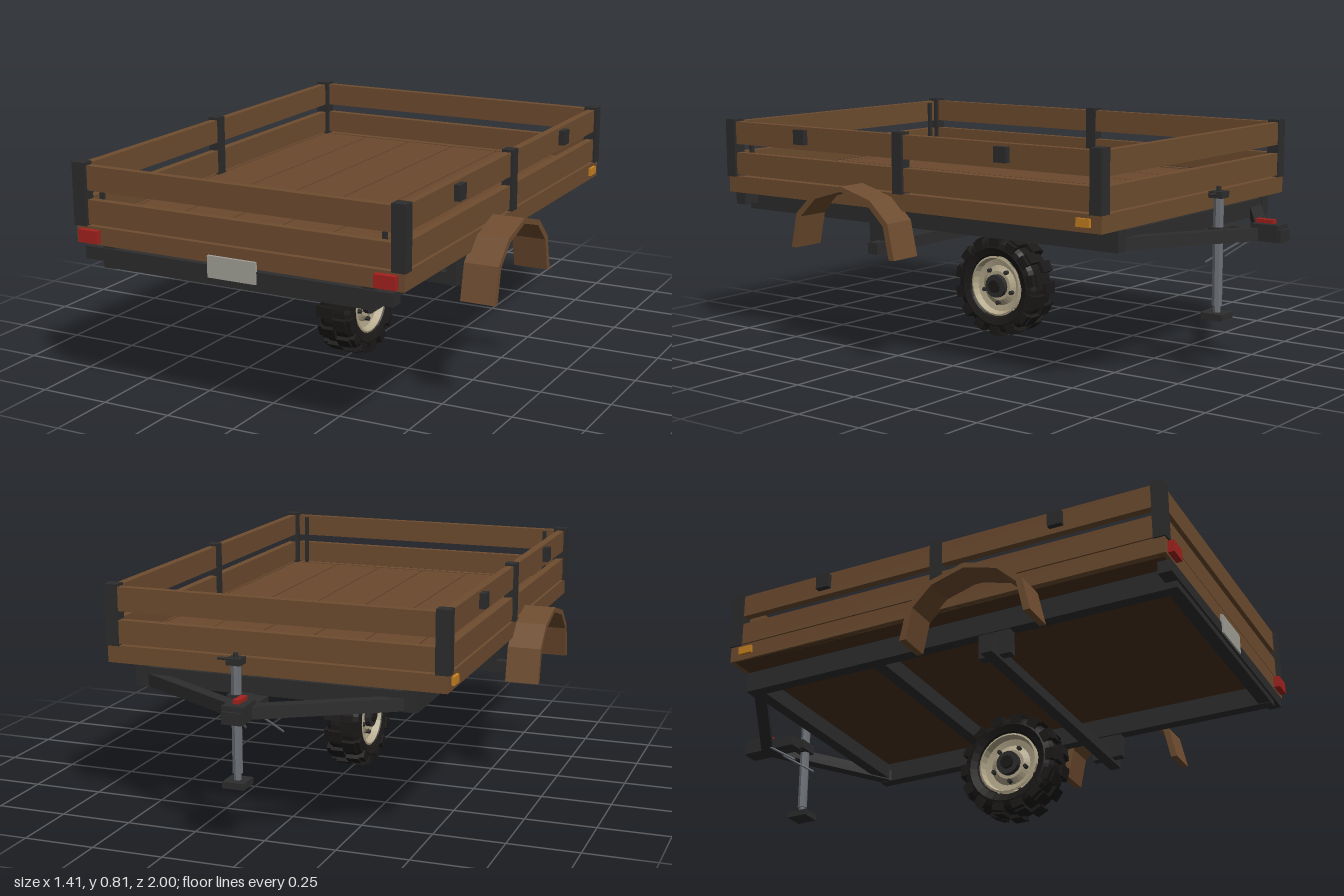
import * as THREE from 'three';

const mat = (color, side = THREE.FrontSide) =>
  new THREE.MeshStandardMaterial({ color, side, flatShading: true });
const wood = mat(0x6f4d30), floorWood = mat(0x6b4a2e), steel = mat(0x2d2d2d), rubber = mat(0x1c1a19);
const zinc = mat(0x6c7177), cream = mat(0xb5a98c, THREE.DoubleSide), red = mat(0xa3221d);
const orange = mat(0xc98320), plateGrey = mat(0xa3a39a);

export function createModel() {
  const root = new THREE.Group();
  root.name = 'trailer';
  const add = (name, geo, material, parent = root) => {
    const m = new THREE.Mesh(geo, material);
    m.name = name;
    parent.add(m);
    return m;
  };
  // Box given by its extents on each axis
  const box = (name, material, x0, x1, y0, y1, z0, z1, parent = root) => {
    const m = add(name, new THREE.BoxGeometry(x1 - x0, y1 - y0, z1 - z0), material, parent);
    m.position.set((x0 + x1) / 2, (y0 + y1) / 2, (z0 + z1) / 2);
    return m;
  };
  // Same box on both sides
  const pair = (name, material, x0, x1, ...yz) => {
    box(name + 'Left', material, x0, x1, ...yz);
    box(name + 'Right', material, -x1, -x0, ...yz);
  };
  // Square or round bar between two points
  const bar = (name, material, a, b, w, round = false) => {
    const p = new THREE.Vector3(...a), q = new THREE.Vector3(...b), len = p.distanceTo(q);
    const geo = round ? new THREE.CylinderGeometry(w / 2, w / 2, len, 8).rotateX(Math.PI / 2)
      : new THREE.BoxGeometry(w, w, len);
    const m = add(name, geo, material);
    m.position.copy(p).lerp(q, 0.5);
    m.lookAt(q);
    return m;
  };

  // Floor planks with narrow grooves, and a dark base under them
  for (let i = 0; i < 6; i++) {
    const x = -0.57 + i * 0.19;
    box('floorPlank', floorWood, x + 0.003, x + 0.187, 0.55, 0.594, -0.65, 0.95);
  }
  box('floorBase', mat(0x4a321f), -0.585, 0.585, 0.537, 0.575, -0.66, 0.965);

  // Lower skirt around the bed
  pair('skirtSide', wood, 0.57, 0.595, 0.537, 0.597, -0.675, 0.978);
  box('skirtFront', wood, -0.57, 0.57, 0.537, 0.597, 0.95, 0.978);
  box('skirtBack', wood, -0.57, 0.57, 0.537, 0.597, -0.675, -0.645);

  // Two rows of boards on all four sides
  for (const [y0, y1] of [[0.603, 0.684], [0.715, 0.797]]) {
    pair('sideBoard', wood, 0.564, 0.592, y0, y1, -0.665, 0.97);
    box('tailBoard', wood, -0.548, 0.548, y0, y1, 0.95, 0.976);
    box('headBoard', wood, -0.56, 0.56, y0, y1, -0.674, -0.646);
  }
  // Posts, tailboard straps and latches
  for (const [z0, z1] of [[0.94, 0.983], [-0.677, -0.632]])
    pair('cornerPost', steel, 0.553, 0.601, 0.595, 0.806, z0, z1);
  pair('middlePost', steel, 0.56, 0.601, 0.595, 0.806, 0.135, 0.178);
  pair('tailStrap', steel, 0.506, 0.52, 0.6, 0.79, 0.938, 0.95);
  for (const z of [0.605, -0.29]) pair('sideLatch', steel, 0.59, 0.613, 0.735, 0.787, z - 0.025, z + 0.025);

  // Lights and plate
  pair('tailLight', red, 0.502, 0.575, 0.545, 0.588, 0.97, 1);
  pair('sideMarker', orange, 0.59, 0.606, 0.555, 0.583, -0.635, -0.583);
  box('plate', plateGrey, -0.088, 0.088, 0.49, 0.562, 0.978, 0.988);

  // Chassis rails and cross members
  pair('chassisRail', steel, 0.45, 0.495, 0.463, 0.537, -0.67, 0.975);
  box('rearBeam', steel, -0.56, 0.56, 0.487, 0.53, 0.935, 0.982);
  box('rearCross', steel, -0.45, 0.45, 0.465, 0.49, 0.93, 0.975);
  for (const z of [-0.15, -0.645]) box('crossMember', steel, -0.46, 0.46, 0.47, 0.53, z - 0.022, z + 0.022);

  // Axle on hanger plates
  box('axle', steel, -0.546, 0.546, 0.363, 0.404, 0.3, 0.342);
  pair('axleHanger', steel, 0.457, 0.491, 0.375, 0.48, 0.265, 0.383);

  // Curved mudguards
  const outer = [[0.557, 0.388], [0.53, 0.51], [0.452, 0.583], [0.32, 0.62], [0.188, 0.583], [0.11, 0.51], [0.083, 0.388]];
  const inner = outer.map(([z, y]) => [0.32 + (z - 0.32) * 0.9, 0.388 + (y - 0.388) * 0.92]).reverse();
  const guard = new THREE.ExtrudeGeometry(
    new THREE.Shape([...outer, ...inner].map(p => new THREE.Vector2(...p))),
    { depth: 0.12, bevelEnabled: false }).rotateY(-Math.PI / 2);
  for (const s of [1, -1])
    add(s > 0 ? 'mudguardLeft' : 'mudguardRight', guard, wood).position.x = s > 0 ? 0.705 : -0.585;

  // Drawbar and coupling
  for (const s of [1, -1]) {
    bar('drawbar', steel, [s * 0.47, 0.486, -0.63], [s * 0.01, 0.486, -0.91], 0.042);
    bar('safetyCable', zinc, [s * 0.04, 0.485, -0.9], [s * 0.066, 0.38, -0.74], 0.008, true);
  }
  box('coupling', steel, -0.033, 0.033, 0.465, 0.505, -1, -0.78);
  box('couplingHead', steel, -0.036, 0.036, 0.465, 0.522, -0.99, -0.89);
  box('couplingHandle', red, -0.011, 0.011, 0.515, 0.535, -0.96, -0.895);

  // Jack stand with foot, cap and crank
  const jx = 0.074, jz = -0.79;
  bar('jackTube', zinc, [jx, 0.24, jz], [jx, 0.61, jz], 0.036, true);
  bar('jackLeg', zinc, [jx, 0.21, jz], [jx, 0.26, jz], 0.026, true);
  box('jackFoot', steel, jx - 0.038, jx + 0.038, 0.195, 0.217, jz - 0.04, jz + 0.04);
  box('jackCap', steel, jx - 0.025, jx + 0.025, 0.603, 0.625, jz - 0.025, jz + 0.025);
  box('jackClamp', steel, 0.02, jx + 0.025, 0.47, 0.505, jz - 0.025, jz + 0.025);
  bar('jackCrank', steel, [jx, 0.618, jz], [0.137, 0.618, jz], 0.01, true);
  bar('jackKnob', steel, [jx, 0.62, jz], [jx, 0.64, jz], 0.018, true);

  // Single wheel, built around y and turned onto the x axis
  const wheel = new THREE.Group();
  wheel.name = 'wheel';
  const lathe = (pts, seg) => new THREE.LatheGeometry(pts.map(p => new THREE.Vector2(...p)), seg);
  add('tyre', lathe([[0.112, -0.04], [0.12, -0.058], [0.145, -0.067], [0.165, -0.06], [0.176, -0.042],
    [0.176, 0.042], [0.165, 0.06], [0.145, 0.067], [0.12, 0.058], [0.112, 0.04], [0.112, -0.04]], 28), rubber, wheel);
  for (const s of [1, -1]) {
    // Staggered tread lugs wrapping onto the shoulder
    for (let i = 0; i < 14; i++) {
      const lug = new THREE.Group();
      lug.name = 'treadLug';
      box('lugTop', rubber, 0.165, 0.189, Math.min(0, s * 0.05), Math.max(0, s * 0.05), -0.021, 0.021, lug);
      const shoulder = box('lugShoulder', rubber, 0.15, 0.181, -0.012, 0.012, -0.021, 0.021, lug);
      shoulder.position.y = s * 0.056;
      lug.rotation.y = (i + (s > 0 ? 0 : 0.5)) * Math.PI / 7;
      wheel.add(lug);
    }
    // Dished rim, hub and nuts
    add('rim', lathe([[0.113, s * 0.056], [0.106, s * 0.058], [0.098, s * 0.034], [0.075, s * 0.03],
      [0.055, s * 0.042], [0, s * 0.042]], 28), cream, wheel);
    const hub = add('hub', new THREE.CylinderGeometry(0.043, 0.043, 0.024, 16), steel, wheel);
    hub.position.y = s * 0.05;
    const cap = add('hubCap', new THREE.CylinderGeometry(0.024, 0.024, 0.012, 12), rubber, wheel);
    cap.position.y = s * 0.064;
    for (let i = 0; i < 5; i++) {
      const a = i * Math.PI * 0.4;
      const nut = add('wheelNut', new THREE.CylinderGeometry(0.008, 0.008, 0.016, 6), steel, wheel);
      nut.position.set(Math.cos(a) * 0.065, s * 0.042, Math.sin(a) * 0.065);
    }
  }
  wheel.rotation.z = -Math.PI / 2;
  wheel.position.set(0, 0.19, 0.157);
  root.add(wheel);
  return root;
}
